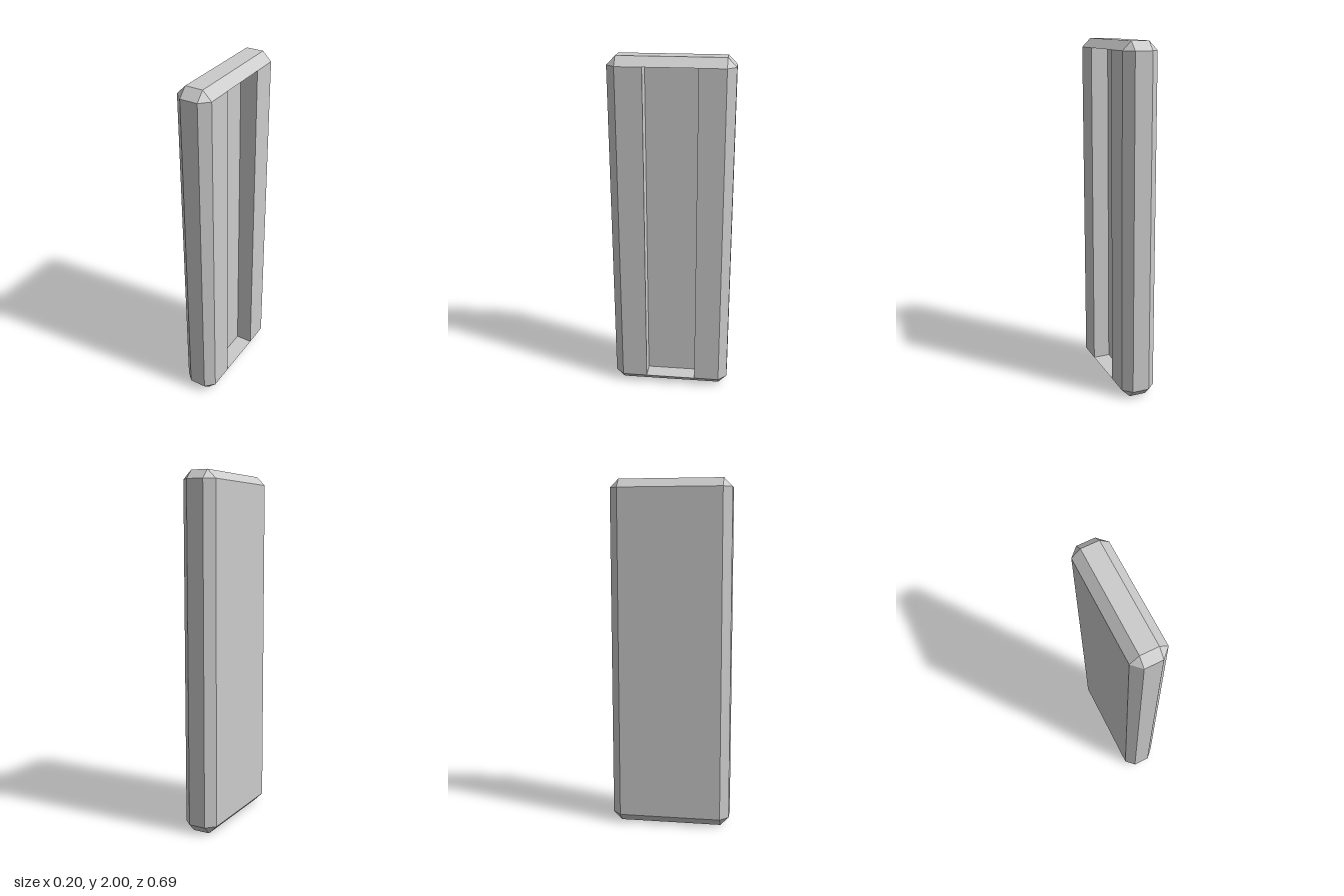
import * as THREE from 'three';

const H = 2, X = 0.0985, Z = 0.345; // height, half width, half depth
const C = 0.0493;                   // chamfer
const SLOT = 0.148, FLOOR = 0;      // half length of the recess, x of its floor
const material = new THREE.MeshStandardMaterial({ color: 0xcccccc, flatShading: true });

// Mesh from flat convex polygons, corners counter-clockwise from outside
function polygonMesh(name, polygons) {
  const pos = [];
  for (const p of polygons)
    for (let i = 1; i < p.length - 1; i++) pos.push(...p[0], ...p[i], ...p[i + 1]);
  const geometry = new THREE.BufferGeometry();
  geometry.setAttribute('position', new THREE.Float32BufferAttribute(pos, 3));
  geometry.computeVertexNormals();
  const mesh = new THREE.Mesh(geometry, material);
  mesh.name = name;
  return mesh;
}

const at = (points, y) => points.map(([x, z]) => [x, y, z]);

// Upright walls between consecutive [x, z] points
function walls(points) {
  const out = [];
  for (let i = 0; i < points.length - 1; i++) {
    const [a, b] = [points[i], points[i + 1]];
    out.push([...at([a, b], C), ...at([b, a], H - C)]);
  }
  return out;
}

// Bevelled end of the slab with the ledge that closes the recess
function endCap(name, octagon, top) {
  const yRim = top ? H - C : C, yEnd = top ? H : 0;
  const inner = octagon.map(([x, z]) => [Math.sign(x) * (X - C), Math.sign(z) * (Z - C)]);
  const polygons = [at(inner.filter((_, i) => i % 2 === 0), yEnd)];
  octagon.forEach((a, i) => {
    const j = (i + 1) % octagon.length;
    const sameCorner = inner[i][0] === inner[j][0] && inner[i][1] === inner[j][1];
    const innerEdge = sameCorner ? [inner[i]] : [inner[j], inner[i]];
    polygons.push([...at([a, octagon[j]], yRim), ...at(innerEdge, yEnd)]);
  });
  polygons.push(at([[FLOOR, -SLOT], [X, -SLOT], [X, SLOT], [FLOOR, SLOT]], yRim));
  if (!top) polygons.forEach((p) => p.reverse());
  return polygonMesh(name, polygons);
}

export function createModel() {
  const model = new THREE.Group();
  model.name = 'slab';

  // Chamfered outline, starting at the front left corner
  const octagon = [
    [X - C, Z], [X, Z - C], [X, C - Z], [X - C, -Z],
    [C - X, -Z], [-X, C - Z], [-X, Z - C], [C - X, Z],
  ];
  // The left face is split by the recess
  const slot = [[X, SLOT], [FLOOR, SLOT], [FLOOR, -SLOT], [X, -SLOT]];
  const outer = [slot[3], ...octagon.slice(2), ...octagon.slice(0, 2), slot[0]];

  model.add(
    polygonMesh('body', walls(outer)),
    polygonMesh('recess', walls(slot)),
    endCap('topCap', octagon, true),
    endCap('bottomCap', octagon, false),
  );
  return model;
}
